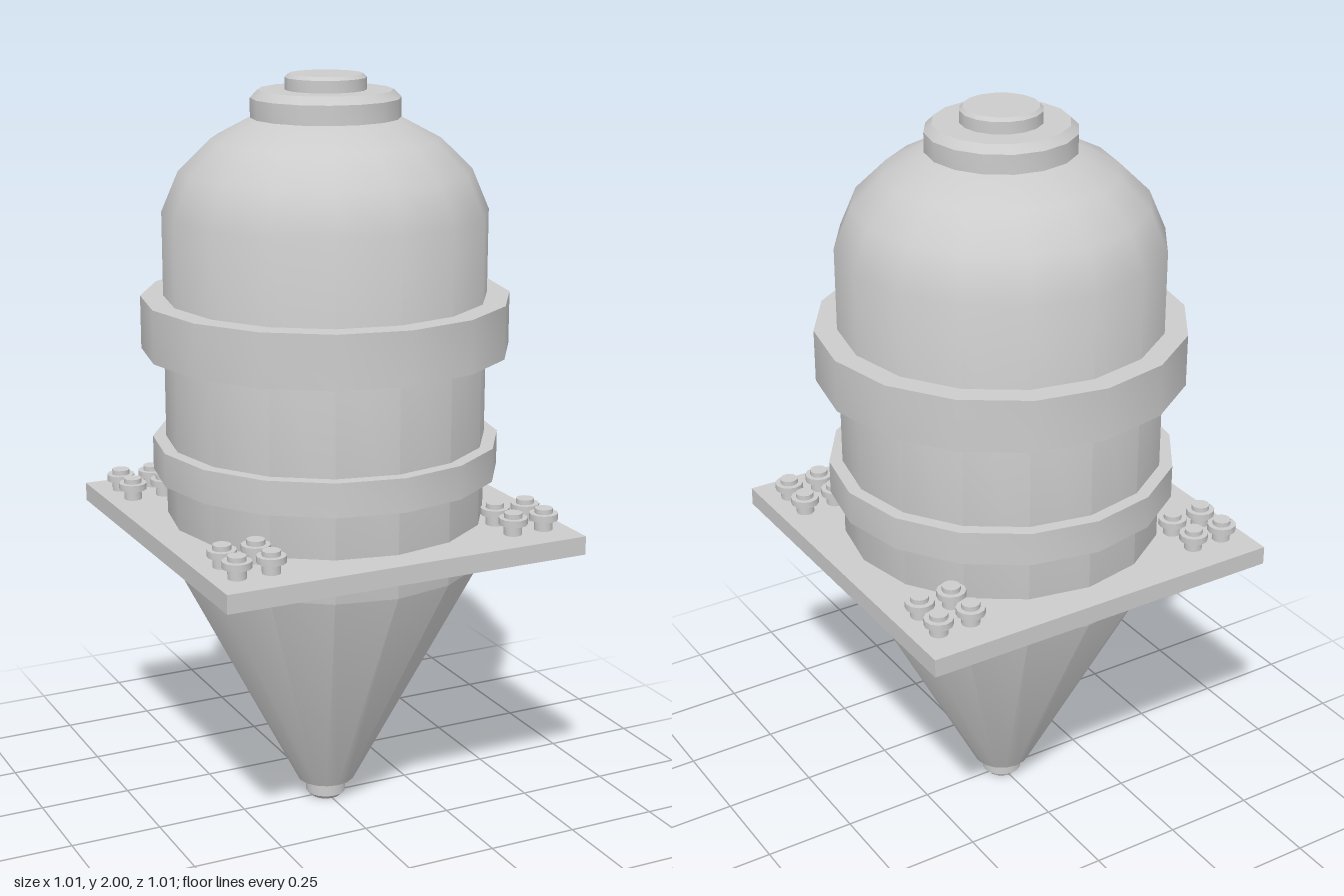
import * as THREE from 'three';
import { toCreasedNormals } from 'three/addons/utils/BufferGeometryUtils.js';

const material = new THREE.MeshStandardMaterial({ color: 0xcccccc });

// Solid of revolution from [radius, y] pairs, bottom to top, with sharp rims.
function turned(profile, sides = 16) {
  const points = profile.map(([r, y]) => new THREE.Vector2(r, y));
  return toCreasedNormals(new THREE.LatheGeometry(points, sides), 0.6);
}

function add(parent, name, geometry) {
  const mesh = new THREE.Mesh(geometry, material);
  mesh.name = name;
  parent.add(mesh);
  return mesh;
}

// Closed cylinder with optional chamfers on the lower and upper rims.
function disc(radius, bottom, top, lower = 0, upper = 0) {
  const profile = [[0, bottom], [radius - lower, bottom]];
  if (lower) profile.push([radius, bottom + lower]);
  profile.push([radius, top - upper]);
  if (upper) profile.push([radius - upper, top]);
  profile.push([0, top]);
  return turned(profile);
}

export function createModel() {
  const model = new THREE.Group();
  model.name = 'vessel';

  // Domed tank tapering into a cone
  add(model, 'body', turned([
    [0, 0.055], [0.08, 0.055], [0.425, 0.72], [0.425, 1.65],
    [0.38, 1.755], [0.298, 1.835], [0.19, 1.892], [0, 1.892],
  ]));
  add(model, 'bottomNozzle', disc(0.055, 0, 0.06, 0.012));

  // Bands around the tank
  add(model, 'upperBand', disc(0.485, 1.29, 1.43));
  add(model, 'lowerBand', disc(0.46, 0.96, 1.05));

  // Top collar and cap
  add(model, 'topCollar', disc(0.194, 1.89, 1.96, 0, 0.02));
  add(model, 'topCap', disc(0.105, 1.95, 2, 0, 0.009));

  // Square mounting plate
  add(model, 'mountingPlate', new THREE.BoxGeometry(1.01, 0.05, 1.01)).position.y = 0.813;

  // Four flanged bolts in each corner of the plate
  const boltGeometry = turned([
    [0.024, 0.835], [0.024, 0.866], [0.038, 0.866], [0.038, 0.884],
    [0.024, 0.884], [0.024, 0.897], [0, 0.897],
  ], 12);
  const bolts = new THREE.Group();
  bolts.name = 'bolts';
  model.add(bolts);
  for (const x of [-0.436, -0.344, 0.344, 0.436]) {
    for (const z of [-0.406, -0.312, 0.312, 0.406]) {
      add(bolts, 'bolt', boltGeometry).position.set(x, 0, z);
    }
  }
  return model;
}
